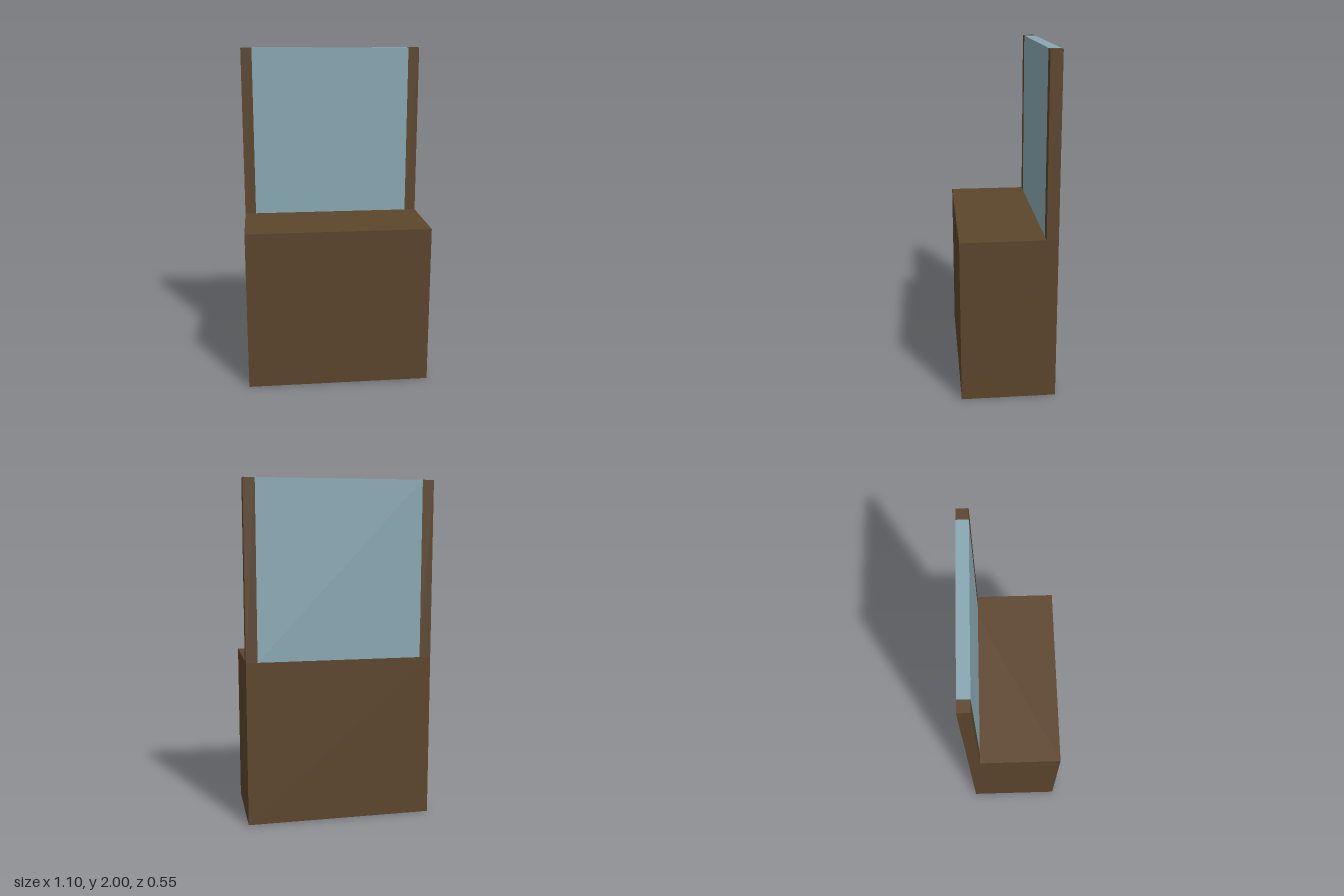
import * as THREE from 'three';

export function createModel() {
  const group = new THREE.Group();
  const wood = new THREE.MeshStandardMaterial({ color: 0x5c452c });
  wood.name = 'dark brown wood';
  const glass = new THREE.MeshStandardMaterial({ color: 0x88a8b3 });
  glass.name = 'pale blue glass';

  // Box given by its minimum and maximum corners
  function addBox(name, material, [x0, y0, z0], [x1, y1, z1]) {
    const mesh = new THREE.Mesh(new THREE.BoxGeometry(x1 - x0, y1 - y0, z1 - z0), material);
    mesh.position.set((x0 + x1) / 2, (y0 + y1) / 2, (z0 + z1) / 2);
    mesh.name = name;
    group.add(mesh);
  }

  const halfWidth = 0.55, halfDepth = 0.275, counterTop = 0.967, top = 2;
  const postInner = 0.483, screenFront = -0.207;

  // Solid counter
  addBox('counter', wood, [-halfWidth, 0, -halfDepth], [halfWidth, counterTop, halfDepth]);

  // Posts at both ends of the back edge
  addBox('leftPost', wood, [postInner, counterTop, -halfDepth], [halfWidth, top, screenFront]);
  addBox('rightPost', wood, [-halfWidth, counterTop, -halfDepth], [-postInner, top, screenFront]);

  // Glass pane between the posts
  addBox('glassPane', glass, [-postInner, counterTop, -halfDepth], [postInner, top, screenFront]);

  return group;
}
